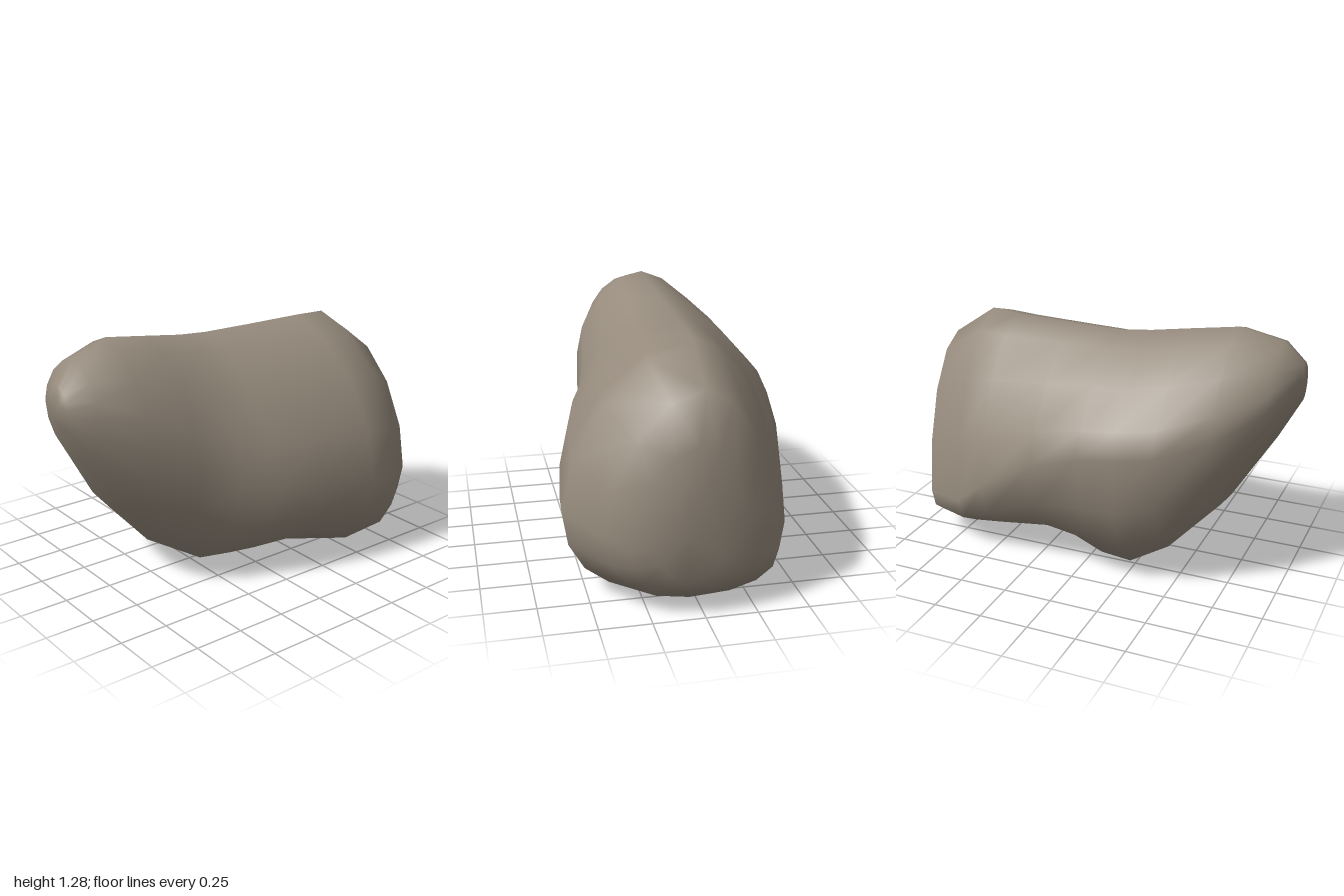
import * as THREE from 'three';

// Cross-sections along x: [x, top y,z, bottom y,z, front z,y, back z,y, roundness of lower back, upper back]
const SECTIONS = [
  [-1.0, 1.12, 0.03, 0.92, 0.05, 0.12, 1.02, -0.05, 1.02, 2, 2],
  [-0.9, 1.22, 0.0, 0.73, 0.0, 0.23, 0.99, -0.28, 0.95, 2.1, 1.6],
  [-0.69, 1.28, -0.04, 0.39, -0.05, 0.34, 0.82, -0.46, 0.83, 2.3, 1.5],
  [-0.45, 1.245, -0.05, 0.13, -0.1, 0.375, 0.65, -0.575, 0.76, 2.3, 1.4],
  [-0.25, 1.215, -0.06, 0.0, -0.13, 0.43, 0.54, -0.605, 0.73, 2.1, 1.4],
  [-0.08, 1.2, -0.07, 0.0, -0.1, 0.5, 0.5, -0.61, 0.71, 2, 1.4],
  [0.18, 1.2, -0.06, 0.05, 0.05, 0.56, 0.48, -0.58, 0.62, 2.1, 1.45],
  [0.5, 1.205, -0.04, 0.02, 0.28, 0.6, 0.45, -0.515, 0.42, 2.4, 1.65],
  [0.66, 1.21, -0.01, 0.025, 0.25, 0.61, 0.43, -0.48, 0.29, 2.4, 1.75],
  [0.88, 1.06, -0.02, 0.05, 0.05, 0.45, 0.39, -0.38, 0.26, 2.4, 1.8],
  [0.96, 0.82, 0.03, 0.12, 0.05, 0.35, 0.36, -0.24, 0.28, 2.2, 1.8],
  [1.0, 0.6, 0.08, 0.2, 0.08, 0.22, 0.35, -0.08, 0.32, 2, 2],
];
const STEPS = 4; // points per quarter of a ring
const RING = STEPS * 4;

// Ring runs top -> front -> bottom -> back, each quarter a superellipse arc
function ringPoints([x, ty, tz, by, bz, fz, fy, kz, ky, lowerBack, upperBack]) {
  const extremes = [[tz, ty], [fz, fy], [bz, by], [kz, ky]];
  const round = [1.75, 2.1, lowerBack, upperBack]; // 2 is elliptical, lower is flatter
  const points = [];
  for (let q = 0; q < 4; q++) {
    const a = extremes[q], b = extremes[(q + 1) % 4];
    // Arc centre lies level with the side extreme and under the top/bottom one
    const centre = q % 2 === 0 ? [a[0], b[1]] : [b[0], a[1]];
    for (let i = 0; i < STEPS; i++) {
      const t = (i / STEPS) * Math.PI / 2;
      const ca = Math.pow(Math.cos(t), 2 / round[q]);
      const cb = Math.pow(Math.sin(t), 2 / round[q]);
      const z = centre[0] + (a[0] - centre[0]) * ca + (b[0] - centre[0]) * cb;
      const y = centre[1] + (a[1] - centre[1]) * ca + (b[1] - centre[1]) * cb;
      points.push(x, y, z);
    }
  }
  return points;
}

function boulderGeometry() {
  const positions = SECTIONS.flatMap(ringPoints);
  const index = [];
  for (let s = 0; s < SECTIONS.length - 1; s++) {
    for (let i = 0; i < RING; i++) {
      const a = s * RING + i, b = s * RING + (i + 1) % RING;
      index.push(a, b, a + RING, b, b + RING, a + RING);
    }
  }
  // Close both ends with a fan around a centre point
  for (const s of [0, SECTIONS.length - 1]) {
    const [x, ty, tz, by, bz] = SECTIONS[s];
    const centre = positions.length / 3;
    positions.push(x, (ty + by) / 2, (tz + bz) / 2);
    for (let i = 0; i < RING; i++) {
      const a = s * RING + i, b = s * RING + (i + 1) % RING;
      if (s === 0) index.push(centre, b, a);
      else index.push(centre, a, b);
    }
  }
  const geometry = new THREE.BufferGeometry();
  geometry.setAttribute('position', new THREE.Float32BufferAttribute(positions, 3));
  geometry.setIndex(index);
  geometry.computeVertexNormals();
  return geometry;
}

export function createModel() {
  const group = new THREE.Group();
  group.name = 'rock';
  const stone = new THREE.MeshStandardMaterial({ color: 0x968b7d });
  stone.name = 'stone';
  const boulder = new THREE.Mesh(boulderGeometry(), stone);
  boulder.name = 'boulder';
  group.add(boulder);
  return group;
}
